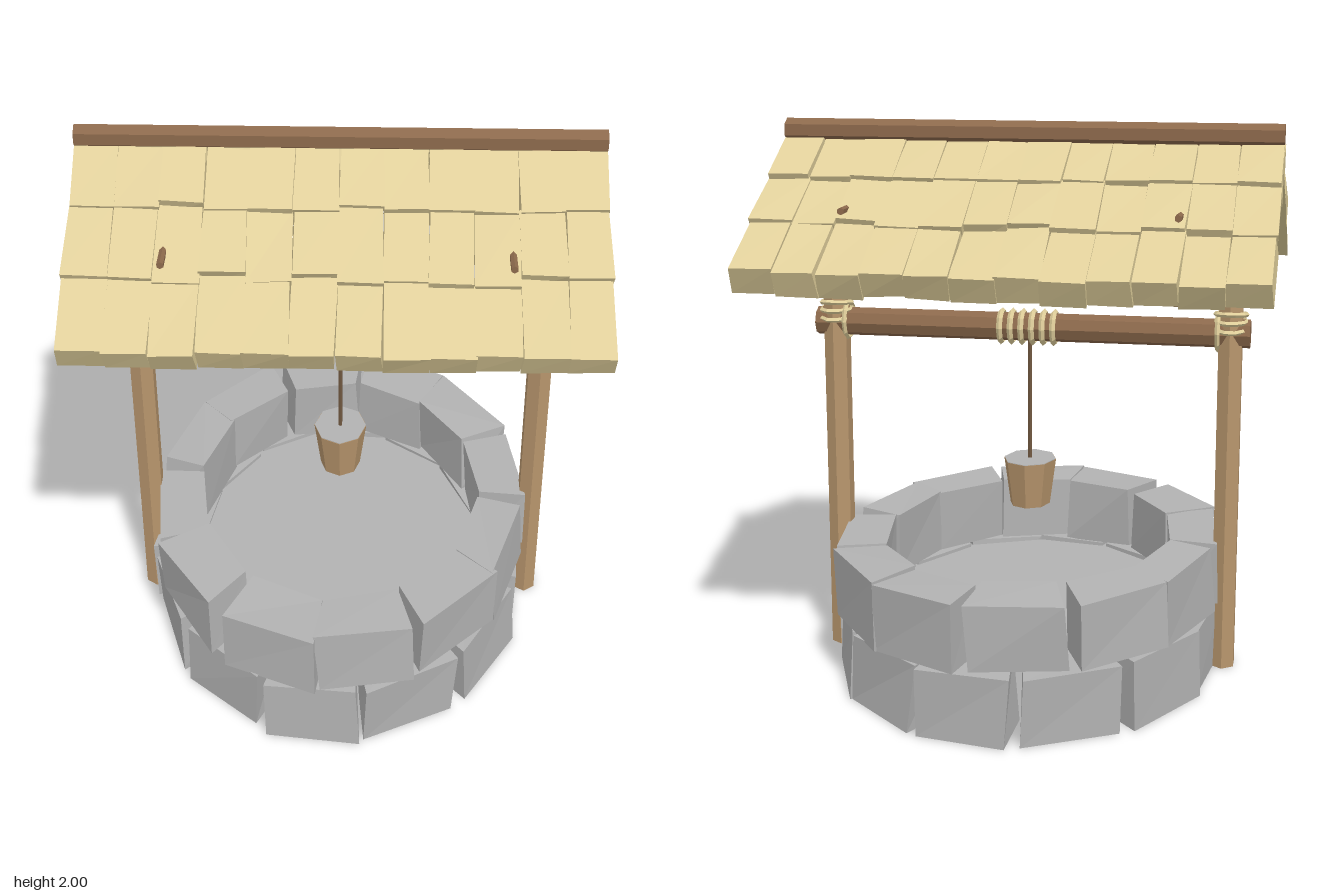
import * as THREE from 'three';

const material = (name, color) => {
  const m = new THREE.MeshStandardMaterial({ color });
  m.name = name;
  return m;
};

// Small seeded random, returns -1..1
let seed = 7;
const rnd = () => {
  seed = (seed * 16807) % 2147483647;
  return (seed / 2147483647) * 2 - 1;
};

// Faceted normals
const facet = (geo) => {
  const g = geo.index ? geo.toNonIndexed() : geo;
  g.computeVertexNormals();
  return g;
};

// Unit box whose eight corners are placed by a rule(sx, sy, sz)
function cornerBox(rule) {
  const g = new THREE.BoxGeometry(2, 2, 2);
  const p = g.attributes.position;
  const corners = new Map();
  for (let i = 0; i < p.count; i++) {
    const s = [p.getX(i), p.getY(i), p.getZ(i)];
    const key = s.join();
    if (!corners.has(key)) corners.set(key, rule(...s));
    p.setXYZ(i, ...corners.get(key));
  }
  return facet(g);
}

export function createModel() {
  const stone = material('grey stone', 0xb2b2b2);
  const straw = material('pale straw', 0xe0cf9b);
  const postWood = material('light wood', 0xb8966d);
  const beamWood = material('dark wood', 0x8c694c);
  const ropeBrown = material('brown rope', 0x705840);

  const model = new THREE.Group();
  model.name = 'well';
  const SQUASH = 0.8; // everything round is narrower in x

  const add = (parent, name, geo, mat, x = 0, y = 0, z = 0) => {
    const mesh = new THREE.Mesh(geo, mat);
    mesh.name = name;
    mesh.position.set(x, y, z);
    parent.add(mesh);
    return mesh;
  };
  const rod = (r, length, sides = 6) => facet(new THREE.CylinderGeometry(r, r, length, sides));

  // Two staggered rings of rough stones
  const wall = new THREE.Group();
  wall.name = 'stoneWall';
  model.add(wall);
  const COUNT = 12;
  const step = (Math.PI * 2) / COUNT;
  [[0, 0.245, -0.1], [0.25, 0.49, 0.16]].forEach(([y0, y1, offset], row) => {
    for (let i = 0; i < COUNT; i++) {
      const mid = i * step + offset + rnd() * 0.025;
      const depth = rnd() * 0.015;
      const geo = cornerBox((sx, sy, sz) => {
        const outer = sz > 0;
        const a = mid + sx * step * (outer ? 0.455 : 0.49) + rnd() * 0.022;
        const r = (outer ? 0.89 + depth : 0.67) + rnd() * 0.015;
        const lift = row === 0 && sy < 0 ? 0 : rnd() * 0.008;
        return [Math.sin(a) * r * SQUASH, (sy > 0 ? y1 : y0) + lift, Math.cos(a) * r];
      });
      add(wall, 'stone', geo, stone);
    }
  });

  // Floor inside the ring
  const floor = add(model, 'wellFloor', facet(new THREE.CylinderGeometry(0.71, 0.71, 0.02, 24)), stone, 0, 0.22, 0);
  floor.scale.x = SQUASH;

  // Posts with rope lashings
  for (const side of [-1, 1]) {
    const x = side * 0.73;
    add(model, 'post', rod(0.06, 1.525), postWood, x, 0.7625, 0).scale.x = SQUASH;
    [1.275, 1.3, 1.325].forEach((y, i) => {
      const ring = add(model, 'lashing', facet(new THREE.TorusGeometry(0.07, 0.009, 4, 10)), straw, x, y, 0);
      ring.rotation.set(Math.PI / 2 + (i - 1) * 0.12, 0, 0);
      ring.scale.x = 0.82;
    });
    const wrap = add(model, 'lashing', facet(new THREE.TorusGeometry(0.068, 0.009, 4, 10)), straw, x - side * 0.045, 1.262, 0);
    wrap.rotation.y = Math.PI / 2;
  }

  // Axle and crank handle
  const axle = add(model, 'axle', rod(0.052, 1.6, 8), beamWood, 0, 1.255, 0);
  axle.rotation.z = Math.PI / 2;
  const handle = add(model, 'crankHandle', rod(0.026, 0.27), beamWood, 0.785, 1.255, 0.115);
  handle.rotation.x = Math.PI / 2;

  // Rope wound on the axle, and the hanging line
  for (let i = 0; i < 6; i++) {
    const coil = add(model, 'ropeCoil', facet(new THREE.TorusGeometry(0.058, 0.011, 4, 10)), straw, -0.09 + i * 0.039, 1.255, 0);
    coil.rotation.y = Math.PI / 2;
  }
  add(model, 'hangingRope', rod(0.008, 0.5), ropeBrown, 0, 0.98, 0);

  // Bucket with a grey top
  const bucket = new THREE.Group();
  bucket.name = 'bucket';
  bucket.scale.x = SQUASH;
  bucket.position.y = 0.675;
  model.add(bucket);
  add(bucket, 'bucketBody', facet(new THREE.CylinderGeometry(0.122, 0.093, 0.17, 8)), postWood);
  add(bucket, 'bucketWater', facet(new THREE.CylinderGeometry(0.12, 0.12, 0.006, 8)), stone, 0, 0.084, 0);

  // Roof: both slopes in overlapping shingles, with rafters below
  const PITCH = 0.54;
  [0, Math.PI].forEach((turn) => {
    const half = new THREE.Group();
    half.name = 'roofHalf';
    half.rotation.y = turn;
    model.add(half);
    const slope = new THREE.Group();
    slope.name = 'shingles';
    slope.position.y = 1.94;
    slope.rotation.x = PITCH;
    half.add(slope);
    for (let c = 0; c < 12; c++) {
      const cx = -0.825 + c * 0.15;
      const shift = rnd() * 0.015;
      const cuts = [0, 0.255 + shift, 0.525 + rnd() * 0.02, 0.802 + rnd() * 0.01];
      for (let r = 0; r < 3; r++) {
        const raise = rnd() * 0.008;
        const geo = cornerBox((sx, sy, sz) => [
          cx + sx * 0.0745 + rnd() * 0.005,
          (sy > 0 ? 0.002 + (sz > 0 ? 0.012 : -0.006) : -0.088) + raise + rnd() * 0.004,
          (sz > 0 ? cuts[r + 1] : cuts[r] - (r ? 0.012 : 0)) + rnd() * 0.004,
        ]);
        add(slope, 'shingle', geo, straw);
      }
    }
    for (const x of [-0.575, 0.575]) {
      const rafter = add(half, 'rafter', new THREE.BoxGeometry(0.055, 0.055, 0.62), beamWood, x, 1.63, 0.25);
      rafter.rotation.x = 0.6;
    }
  });

  // Collar pegs passing through the roof
  for (const x of [-0.575, 0.575]) {
    const tie = add(model, 'collarTie', rod(0.013, 0.9), beamWood, x, 1.718, 0);
    tie.rotation.x = Math.PI / 2;
  }

  // Ridge pole
  const ridge = add(model, 'ridgePole', rod(0.041, 1.8), beamWood, 0, 1.959, 0);
  ridge.rotation.set(0, Math.PI / 2, Math.PI / 2, 'YXZ');
  ridge.rotation.set(0, 0, Math.PI / 2);
  ridge.geometry.rotateY(Math.PI / 2);

  return model;
}
